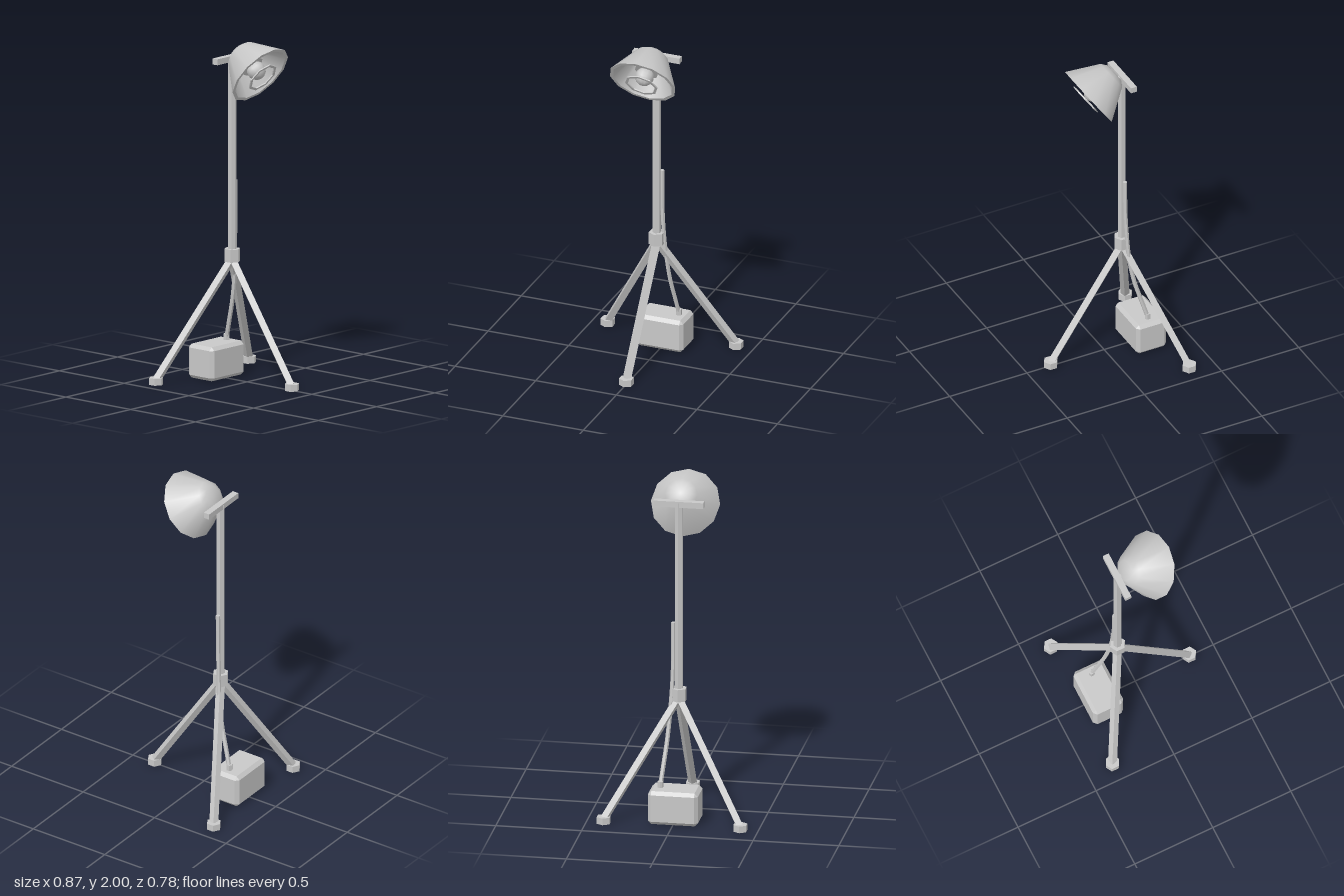
import * as THREE from 'three';
import { toCreasedNormals } from 'three/addons/utils/BufferGeometryUtils.js';
import { ConvexGeometry } from 'three/addons/geometries/ConvexGeometry.js';

export function createModel() {
  const model = new THREE.Group();
  const grey = new THREE.MeshStandardMaterial({ color: 0xc8c8c8 });
  grey.name = 'grey metal';
  const poleZ = -0.114;

  function add(parent, name, geometry, x = 0, y = 0, z = 0, crease = 0.4) {
    const mesh = new THREE.Mesh(toCreasedNormals(geometry, crease), grey);
    mesh.name = name;
    mesh.position.set(x, y, z);
    parent.add(mesh);
    return mesh;
  }
  const rod = (r, h, sides = 6) => new THREE.CylinderGeometry(r, r, h, sides);

  // Pole, hub and crossbar
  add(model, 'pole', rod(0.025, 1.2), 0, 1.295, poleZ);
  add(model, 'hub', rod(0.047, 0.075), 0, 0.73, poleZ);
  add(model, 'crossbar', new THREE.BoxGeometry(0.292, 0.035, 0.038), 0, 1.887, -0.117);

  // Three square-section legs with hexagonal feet, a third of a turn apart
  const top = new THREE.Vector3(0, 0.71, 0);
  const end = new THREE.Vector3(0, 0.03, 0.455);
  for (let i = 0; i < 3; i++) {
    const leg = new THREE.Group();
    leg.name = 'leg' + (i + 1);
    leg.position.z = poleZ;
    leg.rotation.y = i * Math.PI * 2 / 3;
    const mid = top.clone().add(end).multiplyScalar(0.5);
    const tube = add(leg, 'legTube', rod(0.026, top.distanceTo(end), 4), 0, mid.y, mid.z);
    tube.rotation.x = -Math.atan2(end.z, top.y - end.y);
    add(leg, 'foot', rod(0.043, 0.04), 0, 0.02, 0.46);
    model.add(leg);
  }

  // Battery box with chamfered edges
  const half = [0.146, 0.1, 0.097], bevel = 0.02, corners = [];
  for (const sx of [-1, 1]) for (const sy of [-1, 1]) for (const sz of [-1, 1])
    for (let axis = 0; axis < 3; axis++) {
      const p = half.map((h, k) => (k === axis ? h : h - bevel));
      corners.push(new THREE.Vector3(p[0] * sx, p[1] * sy, p[2] * sz));
    }
  add(model, 'batteryBox', new ConvexGeometry(corners), 0, 0.1, -0.237);

  // Cable and its plug
  add(model, 'plug', rod(0.018, 0.045), 0.087, 0.213, -0.237);
  const path = new THREE.CatmullRomCurve3([
    [0.087, 0.21, -0.237], [0.075, 0.32, -0.205], [0.06, 0.46, -0.165],
    [0.048, 0.62, -0.138], [0.037, 0.78, -0.127], [0.032, 0.95, -0.12], [0.032, 1.165, -0.118],
  ].map(p => new THREE.Vector3(...p)));
  add(model, 'cable', new THREE.TubeGeometry(path, 20, 0.013, 6));
  const cap = add(model, 'cableEnd', new THREE.CircleGeometry(0.013, 6), 0.032, 1.165, -0.118);
  cap.rotation.x = -Math.PI / 2;

  // Lamp head: local +y is the direction of the beam, origin at the rim centre
  const head = new THREE.Group();
  head.name = 'lampHead';
  head.position.set(0, 1.819, 0.102);
  head.rotation.x = 2.173;
  model.add(head);
  const lathe = (pts, sides) => new THREE.LatheGeometry(pts.map(p => new THREE.Vector2(...p)), sides);
  add(head, 'shade', lathe([
    [0, -0.203], [0.06, -0.203], [0.094, -0.18], [0.202, 0],
    [0.182, 0], [0.08, -0.17], [0, -0.185],
  ], 12), 0, 0, 0, 0.7);
  add(head, 'socket', rod(0.072, 0.12, 8), 0, -0.13, 0);
  add(head, 'bulb', new THREE.SphereGeometry(0.055, 12, 8), 0, -0.037, 0, 0.8);
  // Thin guard ring ahead of the bulb
  add(head, 'guardRing', lathe([
    [0.084, 0.018], [0.1, 0.018], [0.1, 0.025], [0.084, 0.025], [0.084, 0.018],
  ], 8));

  return model;
}
